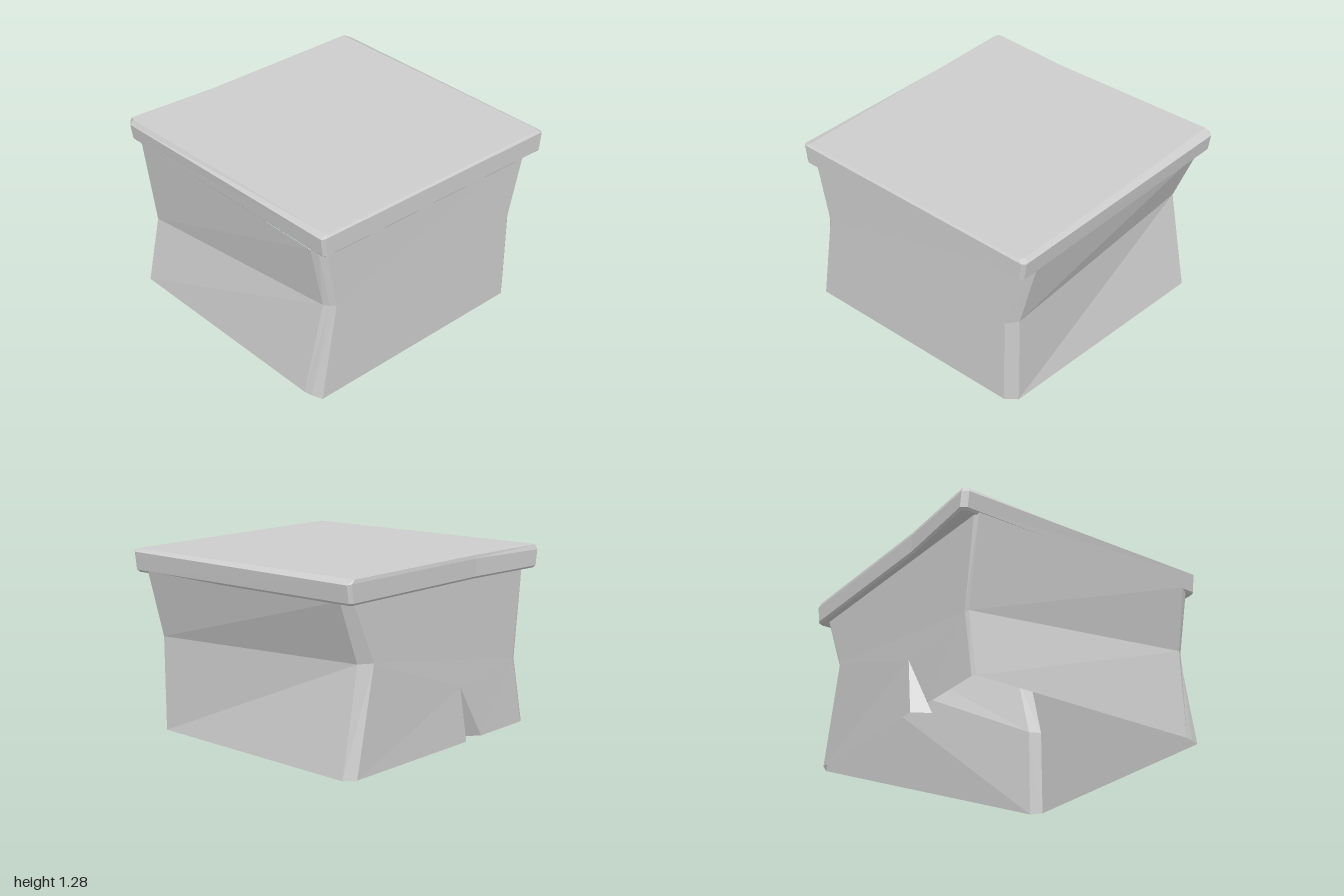
import * as THREE from 'three';

const stone = new THREE.MeshStandardMaterial({ color: 0xcccccc, side: THREE.DoubleSide, flatShading: true });
stone.name = 'stone grey';

// Flat-faced mesh from a list of triangles (each three [x, y, z] corners).
function facetMesh(name, triangles) {
  const geometry = new THREE.BufferGeometry();
  geometry.setAttribute('position', new THREE.Float32BufferAttribute(triangles.flat(2), 3));
  geometry.computeVertexNormals();
  const mesh = new THREE.Mesh(geometry, stone);
  mesh.name = name;
  return mesh;
}

const quad = (a, b, c, d) => [[a, b, c], [a, c, d]];

// Hollow body, open below: upright columns of bottom, waist and top points.
function createBody() {
  const T = 1.14;
  const columns = [
    [[-0.89, 0, 0.98], [-0.88, 0.48, 0.88], [-0.87, T, 0.97]],
    [[0.79, 0, 0.98], [0.86, 0.69, 0.88], [0.845, T, 0.965]],
    [[0.845, 0, 0.97], [0.895, 0.69, 0.855], [0.895, T, 0.945]],
    [[0.92, 0, 0.94], [0.92, 0.69, 0.82], [0.925, T, 0.9]],
    [[0.92, 0, -0.755], [0.92, 0.65, -0.76], [0.92, T, -0.89]],
    [[0.86, 0, -0.83], [0.86, 0.67, -0.835], [0.86, T, -0.965]],
    [[-0.83, 0, -0.93], [-0.83, 0.72, -0.79], [-0.83, T, -0.96]],
    [[-0.89, 0, -0.86], [-0.89, 0.72, -0.7], [-0.89, T, -0.9]],
    [[-0.905, 0, 0.95], [-0.89, 0.48, 0.85], [-0.89, T, 0.94]],
  ];
  const triangles = [];
  const chippedSide = 7;
  columns.forEach((p, i) => {
    const q = columns[(i + 1) % columns.length];
    triangles.push(...quad(p[1], q[1], q[2], p[2]));
    if (i !== chippedSide) triangles.push(...quad(p[0], q[0], q[1], p[1]));
  });

  // Lower side wall with a chip pushed inwards at its foot.
  const [p, q] = [columns[chippedSide], columns[chippedSide + 1]];
  const back = [-0.91, 0, 0.28], front = [-0.9, 0, 0.47];
  const dent = [-0.79, 0, 0.35], apex = [-0.895, 0.39, 0.22];
  triangles.push(
    [p[0], back, apex], [p[0], apex, p[1]], [apex, q[1], p[1]],
    [apex, front, q[1]], [front, q[0], q[1]],
    [back, dent, apex], [dent, front, apex],
  );
  return facetMesh('body', triangles);
}

// Uneven slab with worn, bevelled upper edges.
function createSlab() {
  const rim = [ // x, z and height of the bevel's lower edge
    [-0.96, 0.99, 1.25], [0.95, 0.975, 1.27], [0.965, 0.95, 1.27],
    [0.995, -0.96, 1.27], [0.97, -0.98, 1.265], [-0.92, -1, 1.255],
    [-0.94, -0.975, 1.26], [-0.945, 0.3, 1.26], [-1, 0.96, 1.25],
  ];
  const top = [
    [-0.95, 0.968], [0.93, 0.925], [0.95, 0.92], [0.98, -0.935], [0.94, -0.95],
    [-0.885, -0.94], [-0.935, -0.945], [-0.94, 0.3], [-0.985, 0.955],
  ];
  const rings = [
    rim.map(([x, z]) => [x * 0.985, 1.125, z * 0.97]),
    rim.map(([x, z]) => [x, 1.14, z * 0.983]),
    rim.map(([x, z, y]) => [x, y, z]),
    top.map(([x, z]) => [x, 1.284, z]),
  ];
  const n = rim.length;
  const triangles = [];
  for (let r = 0; r < rings.length - 1; r++) {
    for (let i = 0; i < n; i++) {
      const j = (i + 1) % n;
      triangles.push(...quad(rings[r][i], rings[r][j], rings[r + 1][j], rings[r + 1][i]));
    }
  }
  // Top and underside fan out from the inward bend of the left edge.
  const hub = 7;
  for (let k = 1; k < n - 1; k++) {
    const i = (hub + k) % n, j = (hub + k + 1) % n;
    triangles.push([rings[3][hub], rings[3][i], rings[3][j]]);
    triangles.push([rings[0][hub], rings[0][j], rings[0][i]]);
  }
  return facetMesh('topSlab', triangles);
}

export function createModel() {
  const model = new THREE.Group();
  model.name = 'stoneBlock';
  model.add(createBody(), createSlab());
  return model;
}
